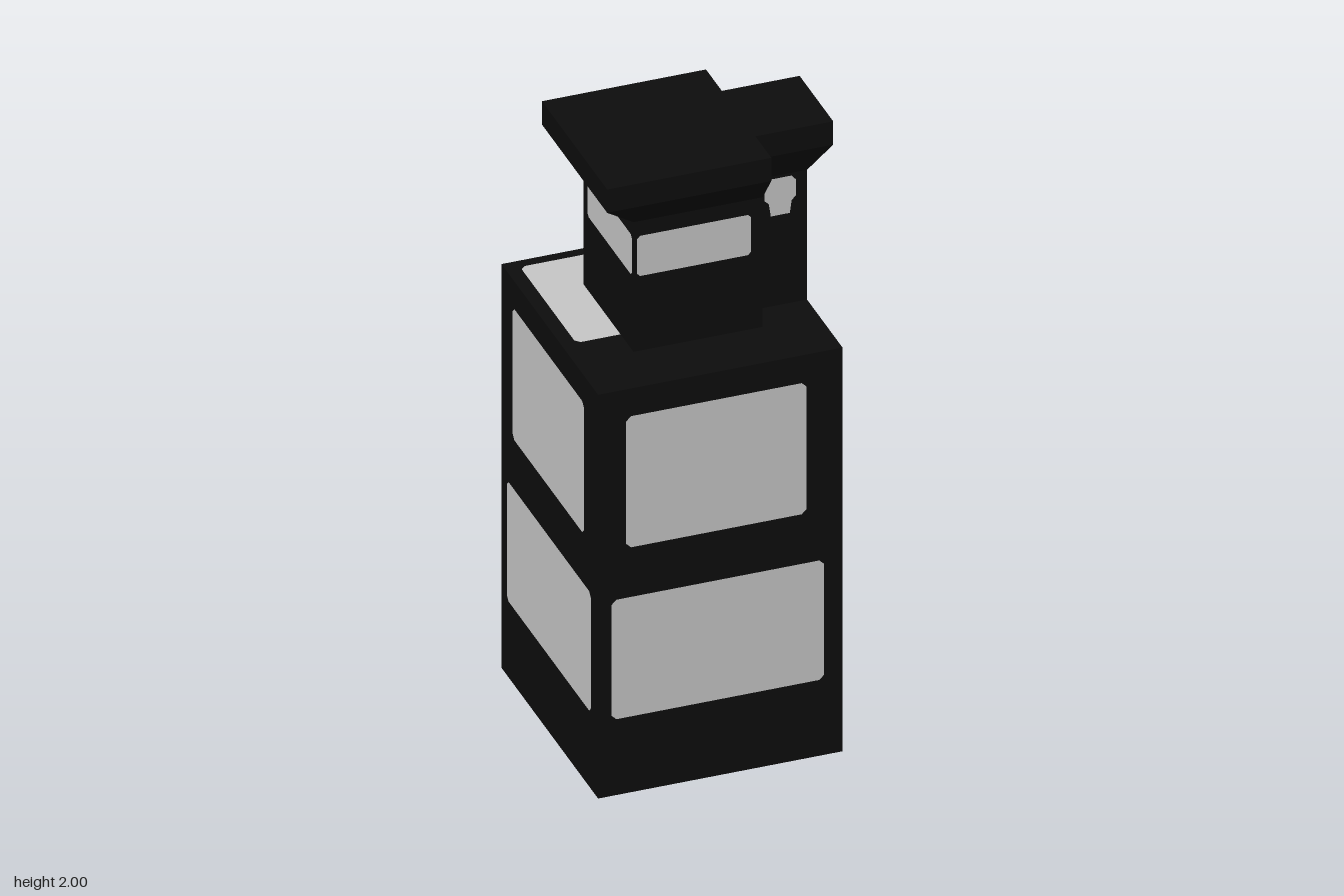
import * as THREE from 'three';

const black = new THREE.MeshStandardMaterial({ color: 0x0d0d0d, side: THREE.DoubleSide });
black.name = 'black';
const paleGrey = new THREE.MeshStandardMaterial({ color: 0xc9c9c9, side: THREE.DoubleSide });
paleGrey.name = 'pale grey';

// Rectangle with small cut corners
function outline(x0, x1, y0, y1, c, Type = THREE.Shape) {
  return new Type([
    [x0 + c, y0], [x1 - c, y0], [x1, y0 + c], [x1, y1 - c],
    [x1 - c, y1], [x0 + c, y1], [x0, y1 - c], [x0, y0 + c],
  ].map(([x, y]) => new THREE.Vector2(x, y)));
}

function flat(name, shape, material) {
  const mesh = new THREE.Mesh(new THREE.ShapeGeometry(shape), material);
  mesh.name = name;
  return mesh;
}

// Flat wall with pale panels set flush into openings, visible from both sides
function panelledWall(name, rect, panels) {
  const wall = new THREE.Group();
  wall.name = name;
  const [x0, x1, y0, y1] = rect;
  const frame = new THREE.Shape([
    new THREE.Vector2(x0, y0), new THREE.Vector2(x1, y0),
    new THREE.Vector2(x1, y1), new THREE.Vector2(x0, y1),
  ]);
  for (const p of panels) {
    frame.holes.push(outline(...p, 0.015, THREE.Path));
    wall.add(flat('panel', outline(...p, 0.015), paleGrey));
  }
  wall.add(flat('frame', frame, black));
  return wall;
}

// Block whose top rectangle may differ from its bottom; rectangles are [x0, x1, z0, z1]
function block(name, bottom, top, y0, y1) {
  const g = new THREE.BoxGeometry(1, 1, 1).toNonIndexed();
  const pos = g.attributes.position;
  for (let i = 0; i < pos.count; i++) {
    const up = pos.getY(i) > 0;
    const r = up ? top : bottom;
    pos.setXYZ(i, pos.getX(i) > 0 ? r[1] : r[0], up ? y1 : y0, pos.getZ(i) > 0 ? r[3] : r[2]);
  }
  g.computeVertexNormals();
  const mesh = new THREE.Mesh(g, black);
  mesh.name = name;
  return mesh;
}

// Broad-topped badge with a narrow lower part
function badge() {
  const half = [[0.03, -0.065], [0.036, -0.022], [0.05, -0.008], [0.05, 0.045], [0.036, 0.062]];
  const pts = [...half, ...half.map(([x, y]) => [-x, y]).reverse()];
  return flat('badge', new THREE.Shape(pts.map(([x, y]) => new THREE.Vector2(x, y))), paleGrey);
}

export function createModel() {
  const model = new THREE.Group();
  model.name = 'tower';

  // Lower body: four panelled walls and a panelled roof, open underneath
  const body = new THREE.Group();
  body.name = 'body';
  const W = 0.77, D = 0.805, H = 1.385, cx = -0.035;
  ['front', 'left', 'back', 'right'].forEach((side, i) => {
    const w = i % 2 ? D : W;
    const at = (f) => (f - 0.5) * w;
    const wall = panelledWall(side + ' wall', [-w / 2, w / 2, 0, H], [
      [at(0.055), at(0.925), 0.26, 0.67],
      [at(0.115), at(0.853), 0.84, 1.29],
    ]);
    const a = (i * Math.PI) / 2, d = (i % 2 ? W : D) / 2;
    wall.rotation.y = a;
    wall.position.set(cx + Math.sin(a) * d, 0, Math.cos(a) * d);
    body.add(wall);
  });
  const roof = panelledWall('roof', [cx - W / 2, cx + W / 2, -D / 2, D / 2], [[-0.375, 0.315, -0.1, 0.368]]);
  roof.rotation.x = -Math.PI / 2;
  roof.position.y = H;
  body.add(roof);
  model.add(body);

  // Upper cabin and its narrow arm, each flaring out to a flat cap
  const parts = [
    ['cabin', [-0.235, 0.172, -0.208, 0.208], [-0.342, 0.175, -0.272, 0.272]],
    ['arm', [0.1, 0.35, -0.107, 0.107], [0.1, 0.42, -0.14, 0.14]],
  ];
  for (const [name, plan, cap] of parts) {
    const part = new THREE.Group();
    part.name = name;
    part.add(block('shaft', plan, plan, H, 1.83));
    part.add(block('flare', plan, cap, 1.83, 1.92));
    part.add(block('cap', cap, cap, 1.92, 2));
    model.add(part);
  }

  // Cabin windows and arm badges, as thin faces just proud of the walls
  const e = 0.002;
  for (const s of [1, -1]) {
    const w = flat('cabin window', outline(-0.225, 0.135, 1.642, 1.78, 0.01), paleGrey);
    w.position.z = s * (0.208 + e);
    const sideWindow = flat('cabin side window', outline(-0.2, 0.17, 1.642, 1.78, 0.01), paleGrey);
    sideWindow.rotation.y = Math.PI / 2;
    sideWindow.position.x = s > 0 ? 0.172 + e : -0.235 - e;
    const b = badge();
    b.position.set(0.265, 1.76, s * (0.107 + e));
    model.add(w, sideWindow, b);
  }
  const endBadge = badge();
  endBadge.rotation.y = Math.PI / 2;
  endBadge.position.set(0.35 + e, 1.748, 0.013);
  model.add(endBadge);

  return model;
}
